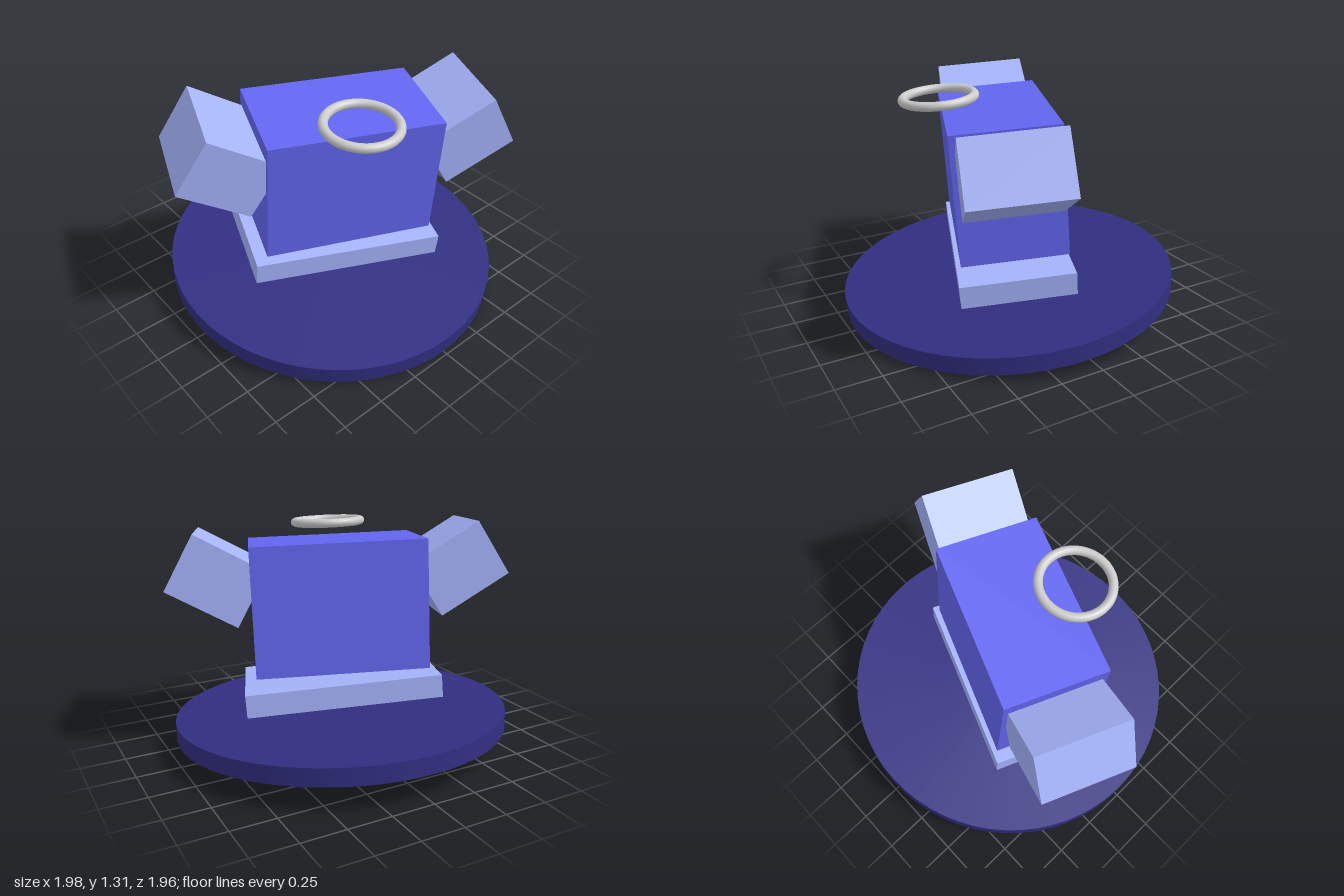
import * as THREE from 'three';

const paint = (color) => new THREE.MeshStandardMaterial({ color });

function part(name, geometry, material, [x, y, z], parent) {
  const mesh = new THREE.Mesh(geometry, material);
  mesh.name = name;
  mesh.position.set(x, y, z);
  parent.add(mesh);
  return mesh;
}

export function createModel() {
  const model = new THREE.Group();
  model.name = 'model';

  const navy = paint(0x312e81);
  const indigo = paint(0x6366f1);
  const lilac = paint(0xa5b4fc);
  const white = paint(0xf5f5f4);

  // Everything leans forward together with the base
  const tilted = new THREE.Group();
  tilted.name = 'tiltedAssembly';
  tilted.position.y = 0.128;
  tilted.rotation.x = 0.08;
  model.add(tilted);

  part('baseDisc', new THREE.CylinderGeometry(0.98, 0.98, 0.1, 64), navy, [0, 0, 0], tilted);

  // The figure is turned on the base
  const figure = new THREE.Group();
  figure.name = 'figure';
  figure.rotation.y = -0.375;
  tilted.add(figure);

  // Thin slab floating below the body, slightly rolled
  const slab = part('footSlab', new THREE.BoxGeometry(1.117, 0.13, 0.637), lilac, [0, 0.2, 0], figure);
  slab.rotation.z = -0.04;

  part('body', new THREE.BoxGeometry(0.984, 0.735, 0.593), indigo, [0, 0.695, 0], figure);

  // Mirrored raised arms
  for (const side of [1, -1]) {
    const arm = part(side > 0 ? 'leftArm' : 'rightArm',
      new THREE.BoxGeometry(0.446, 0.347, 0.535), lilac, [side * 0.68, 0.882, 0], figure);
    arm.rotation.z = side * 0.522;
  }

  // Ring hovering over the front top edge
  const ring = part('ring', new THREE.TorusGeometry(0.2, 0.026, 16, 64), white, [0, 1.141, 0.307], figure);
  ring.rotation.x = Math.PI / 2;

  return model;
}
